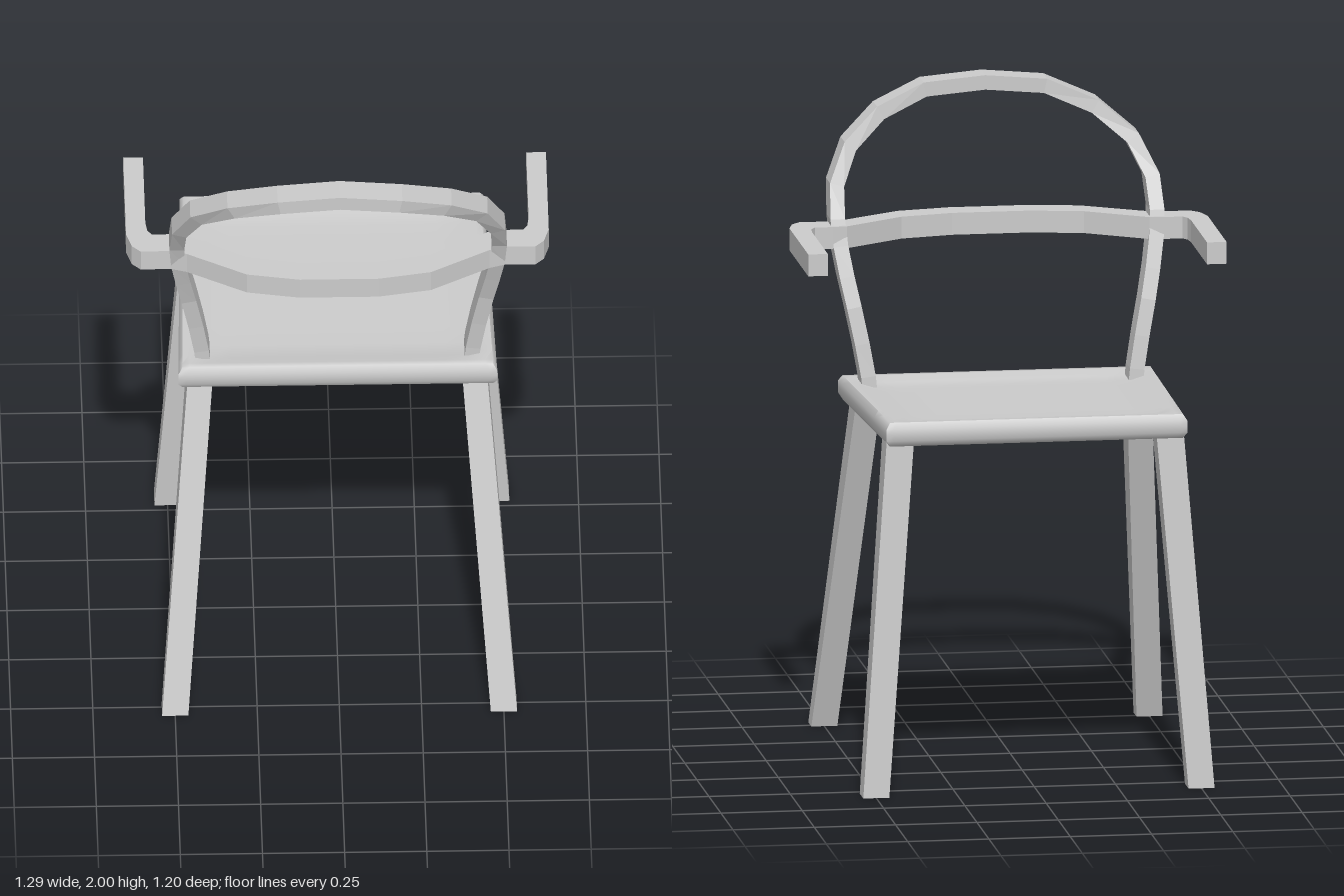
import * as THREE from 'three';
import { mergeVertices, toCreasedNormals } from 'three/addons/utils/BufferGeometryUtils.js';

const smoothMat = new THREE.MeshStandardMaterial({ color: 0xcccccc });
const flatMat = new THREE.MeshStandardMaterial({ color: 0xcccccc, flatShading: true });
const lerp = THREE.MathUtils.lerp;

// Unit box whose vertices (-0.5..0.5) are moved by a rule
function warpedBox(segments, rule) {
  const geo = new THREE.BoxGeometry(1, 1, 1, ...segments);
  const pos = geo.attributes.position;
  const v = new THREE.Vector3();
  for (let i = 0; i < pos.count; i++) {
    rule(v.fromBufferAttribute(pos, i));
    pos.setXYZ(i, v.x, v.y, v.z);
  }
  geo.computeVertexNormals();
  return geo;
}

function add(group, name, geo, mat) {
  const mesh = new THREE.Mesh(geo, mat);
  mesh.name = name;
  group.add(mesh);
}

// Splayed leg; bottom and top are [centre x, y, centre z, width, depth]
function legGeometry(side, bottom, top) {
  return warpedBox([1, 1, 1], (v) => {
    const [cx, y, cz, w, d] = bottom.map((b, i) => lerp(b, top[i], v.y + 0.5));
    v.set(side * cx + v.x * w, y, cz + v.z * d);
  });
}

// Seat panel: slightly tapered, rising to one end, with a shallow dish
function seatGeometry() {
  const spread = (t) => Math.sign(t) * (1 - (1 - Math.abs(2 * t)) ** 1.7) / 2;
  const rim = (t) => THREE.MathUtils.smoothstep(0.5 - Math.abs(t), 0.02, 0.1);
  let geo = warpedBox([12, 4, 12], (v) => {
    const x = spread(v.x), z = spread(v.z), y = v.y;
    const inset = Math.abs(y) > 0.49 ? 0.012 : 0;
    const t = z + 0.5;
    const width = lerp(0.925, 0.97, t) - 2 * inset;
    const dish = y > 0.49 ? 0.02 * rim(x) * rim(z) : 0;
    v.set(x * width, lerp(1.117, 1.093, t) + y * 0.074 - dish, -0.13 + z * (0.86 - 2 * inset));
  });
  geo.deleteAttribute('normal');
  geo.deleteAttribute('uv');
  geo = mergeVertices(geo);
  return toCreasedNormals(geo, 1.0);
}

// Bent back hoop: both posts and the arch in one sweep
function hoopGeometry() {
  const half = [
    [0.405, 1.07, 0.19], [0.413, 1.15, 0.193], [0.43, 1.25, 0.205], [0.452, 1.36, 0.222],
    [0.47, 1.45, 0.25], [0.485, 1.54, 0.28], [0.491, 1.62, 0.305], [0.485, 1.715, 0.36],
    [0.435, 1.82, 0.425], [0.33, 1.905, 0.502], [0.185, 1.962, 0.556], [0, 1.978, 0.558],
  ].map((p) => new THREE.Vector3(...p));
  const mirrored = half.map((p) => new THREE.Vector3(-p.x, p.y, p.z));
  const path = [...mirrored, ...half.slice(0, -1).reverse()];
  const n = path.length - 1;
  return warpedBox([n, 1, 1], (v) => {
    const i = Math.round((v.x + 0.5) * n);
    const a = path[Math.max(i - 1, 0)], b = path[Math.min(i + 1, n)];
    const tangent = new THREE.Vector2(b.x - a.x, b.y - a.y).normalize();
    const thick = 0.045 * v.y;
    const p = path[i];
    v.set(p.x - tangent.y * thick, p.y + tangent.x * thick, p.z + v.z * 0.086);
  });
}

// Horizontal rail: back curve and both arms in one plan outline
function railGeometry() {
  const outer = [
    [0.12, 0.48], [0.28, 0.45], [0.46, 0.342], [0.51, 0.325], [0.6, 0.327],
    [0.627, 0.298], [0.643, 0.24], [0.643, -0.152],
  ];
  const inner = [
    [0.583, -0.152], [0.583, 0.18], [0.578, 0.22], [0.565, 0.24], [0.51, 0.24],
    [0.465, 0.245], [0.28, 0.362], [0.12, 0.395],
  ];
  const half = [...outer, ...inner];
  const mirrored = half.map(([x, z]) => [-x, z]).reverse();
  const outline = [...half, ...mirrored].map(([x, z]) => new THREE.Vector2(x, z));
  const geo = new THREE.ExtrudeGeometry(new THREE.Shape(outline), { depth: 0.068, bevelEnabled: false });
  return geo.rotateX(Math.PI / 2).translate(0, 1.601, 0);
}

export function createModel() {
  const group = new THREE.Group();
  group.name = 'armchair';

  add(group, 'seat', seatGeometry(), smoothMat);
  add(group, 'backHoop', hoopGeometry(), flatMat);
  add(group, 'armRail', railGeometry(), flatMat);

  // Legs under the hoop rake strongly; the opposite pair is nearly upright
  for (const [side, label] of [[1, 'left'], [-1, 'right']]) {
    add(group, label + 'RakedLeg', legGeometry(side,
      [0.5, 0, 0.513, 0.08, 0.064], [0.416, 1.08, 0.186, 0.076, 0.115]), flatMat);
    add(group, label + 'UprightLeg', legGeometry(side,
      [0.5, 0, -0.562, 0.08, 0.075], [0.414, 1.1, -0.475, 0.084, 0.093]), flatMat);
  }
  return group;
}
